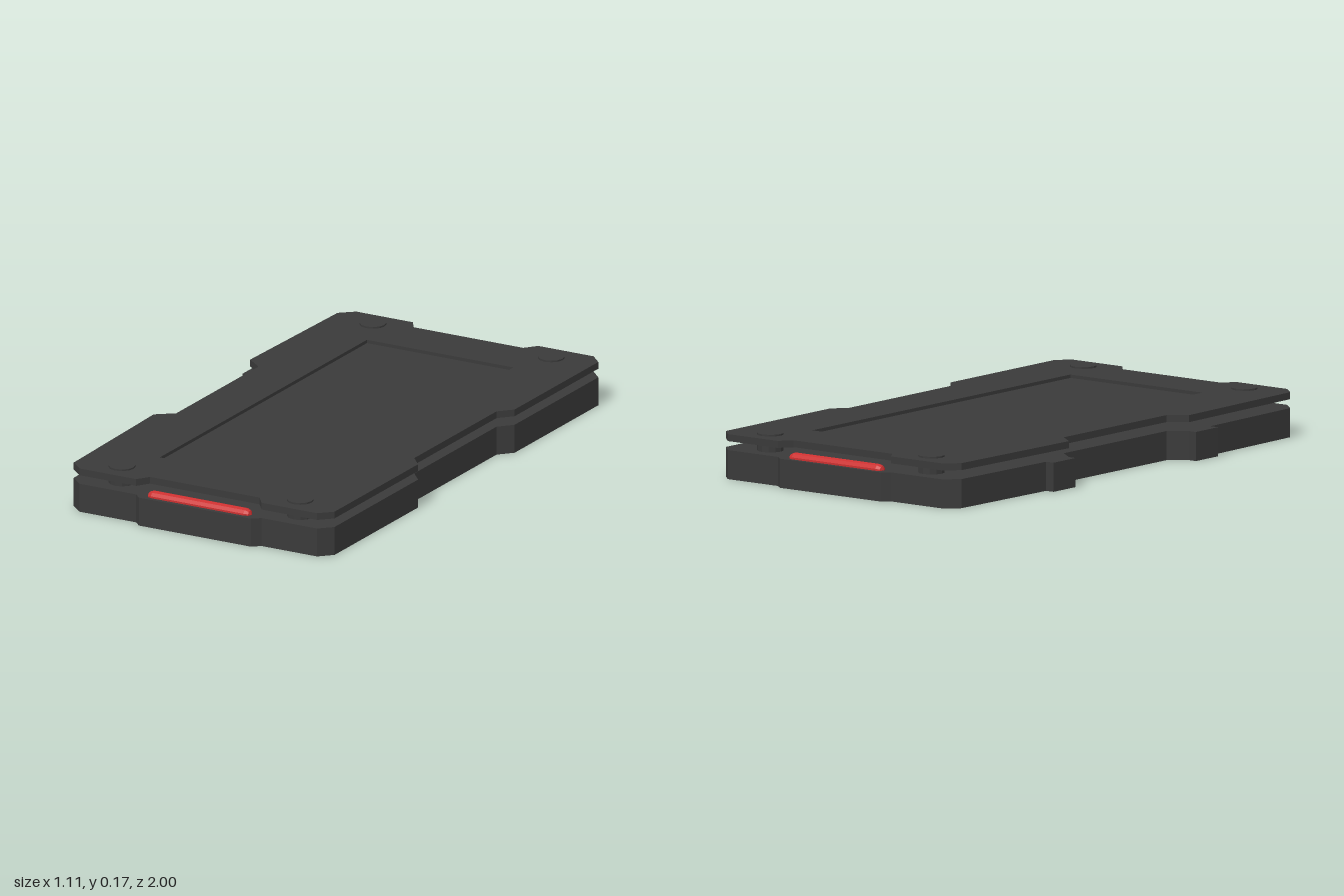
import * as THREE from 'three';

const dark = new THREE.MeshStandardMaterial({ color: 0x3a3a3a, flatShading: true });
const red = new THREE.MeshStandardMaterial({ color: 0xcc3030, flatShading: true });

// Outline from its front half (right waist round to left waist), mirrored in z
function outline(endPoints) {
  const half = [
    [0.505, 0.29], [0.55, 0.34], [0.55, 0.93], [0.505, 0.975],
    ...endPoints,
    [-0.46, 0.975], [-0.51, 0.93], [-0.525, 0.34], [-0.462, 0.29],
  ];
  const back = half.map(([x, z]) => [x, -z]).reverse();
  return new THREE.Shape([...half, ...back].map(([x, z]) => new THREE.Vector2(x, z)));
}

// Slab from a plan shape (x, z) between two heights
function slab(name, shape, bottom, top) {
  const geometry = new THREE.ExtrudeGeometry(shape, { depth: top - bottom, bevelEnabled: false });
  geometry.rotateX(Math.PI / 2).translate(0, top, 0);
  const mesh = new THREE.Mesh(geometry, dark);
  mesh.name = name;
  return mesh;
}

function rectangle(x0, x1, z) {
  return [[x0, -z], [x0, z], [x1, z], [x1, -z]].map(([x, y]) => new THREE.Vector2(x, y));
}

export function createModel() {
  const group = new THREE.Group();
  const centerX = 0.0225;

  // Base with a shallow bulge at each end
  const bulge = [[0.28, 0.975], [0.25, 1], [-0.205, 1], [-0.23, 0.975]];
  group.add(slab('base', outline(bulge), 0, 0.104));

  // Raised cover with a notch at each end and a recessed panel
  const notch = [[0.28, 0.975], [0.245, 0.93], [-0.2, 0.93], [-0.23, 0.975]];
  const cover = outline(notch);
  const panel = rectangle(-0.275, 0.32, 0.73);
  cover.holes.push(new THREE.Path(panel));
  group.add(slab('cover', cover, 0.136, 0.161));
  group.add(slab('recessedPanel', new THREE.Shape(panel), 0.136, 0.149));

  for (const side of [-1, 1]) {
    // Posts carrying the cover, with heads just proud of it
    for (const dx of [-0.3625, 0.3625]) {
      const post = new THREE.Mesh(new THREE.CylinderGeometry(0.047, 0.047, 0.067, 12), dark);
      post.name = 'post';
      post.position.set(centerX + dx, 0.1335, side * 0.885);
      group.add(post);
    }

    // Light bar lying on each end bulge
    const bar = new THREE.Mesh(new THREE.CapsuleGeometry(0.022, 0.376, 2, 10), red);
    bar.name = 'lightBar';
    bar.rotation.z = Math.PI / 2;
    bar.position.set(centerX, 0.104, side * 0.963);
    group.add(bar);

    // Side tab
    const tab = new THREE.Mesh(new THREE.BoxGeometry(0.055, 0.104, 0.125), dark);
    tab.name = 'sideTab';
    tab.position.set(-0.5275, 0.052, side * 0.4025);
    group.add(tab);
  }

  return group;
}
